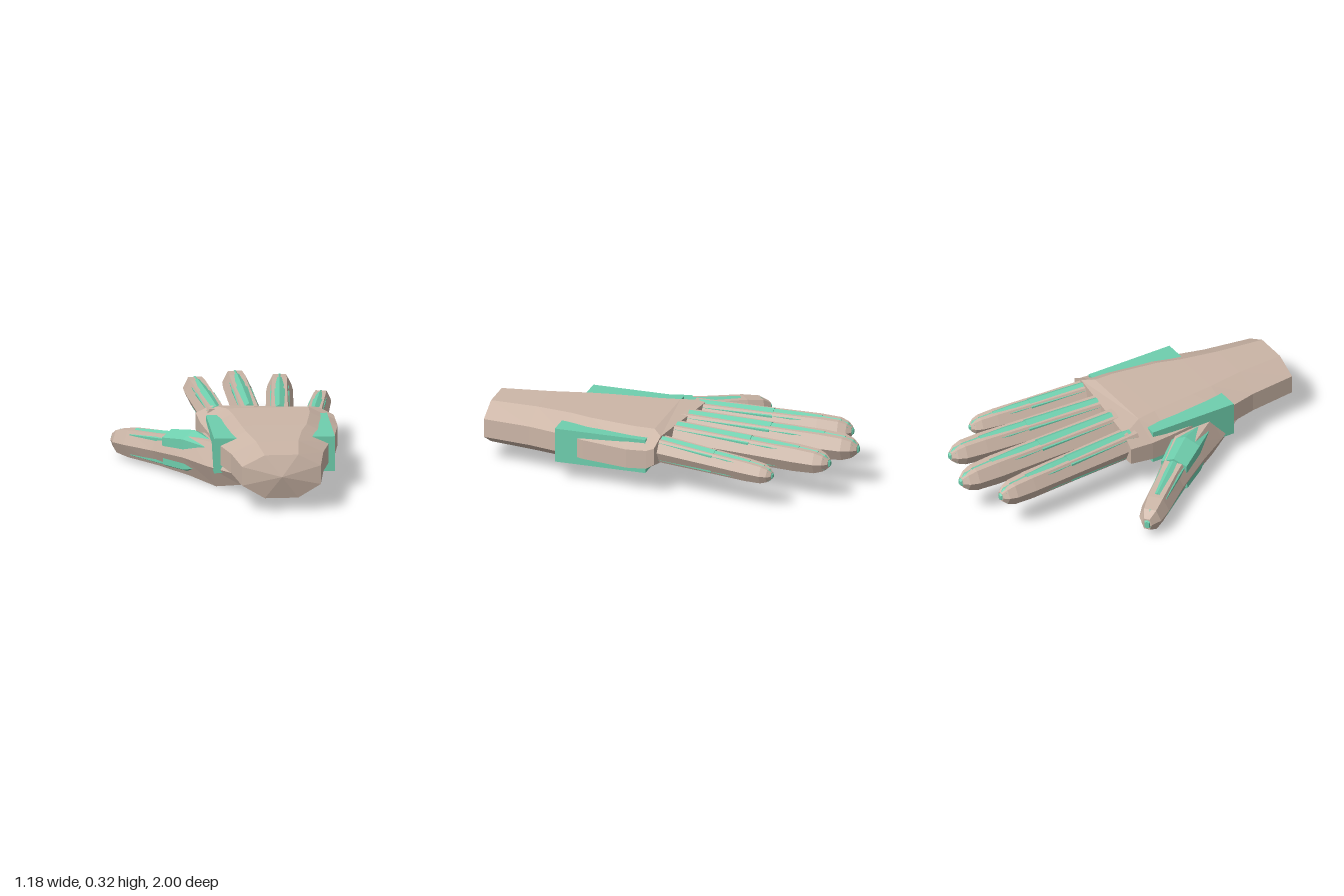
import * as THREE from 'three';

const skin = new THREE.MeshStandardMaterial({ color: 0xccb6a7 });
skin.name = 'skin';
const green = new THREE.MeshStandardMaterial({ color: 0x6fcfae });
green.name = 'green bone';

// Flat-shaded skin over closed rings, capped by a fan at each end
function loft(rings, startTip, endTip) {
  const n = rings[0].length;
  const pos = [];
  const tri = (...p) => p.forEach(v => pos.push(v.x, v.y, v.z));
  const mid = r => r.reduce((a, v) => a.add(v), new THREE.Vector3()).divideScalar(n);
  const first = rings[0], last = rings[rings.length - 1];
  const a = startTip || mid(first), b = endTip || mid(last);
  for (let j = 0; j < n; j++) {
    const k = (j + 1) % n;
    tri(a, first[j], first[k]);
    tri(b, last[k], last[j]);
    for (let i = 0; i + 1 < rings.length; i++) {
      const p = rings[i], q = rings[i + 1];
      tri(p[j], q[j], p[k]);
      tri(p[k], q[j], q[k]);
    }
  }
  const g = new THREE.BufferGeometry();
  g.setAttribute('position', new THREE.Float32BufferAttribute(pos, 3));
  g.computeVertexNormals();
  return g;
}

function add(group, name, geometry, material) {
  const m = new THREE.Mesh(geometry, material);
  m.name = name;
  group.add(m);
  return m;
}

// Cross-sections: skin is flat on top, bone has a ridge on top
const skinShape = [[1, 0], [0.55, 0.9], [-0.55, 0.9], [-1, 0], [-0.55, -0.9], [0.55, -0.9]];
const boneShape = [[0.72, -0.68], [0.72, 0.68], [0, 1], [-0.72, 0.68], [-0.72, -0.68], [0, -1]];

// Tube of a given section; each station is [centre, half width, half height]
function limb(shape, stations) {
  const rings = stations.map(([c, w, h], i) => {
    const prev = stations[Math.max(i - 1, 0)][0];
    const next = stations[Math.min(i + 1, stations.length - 1)][0];
    const dir = next.clone().sub(prev).normalize();
    const side = dir.clone().cross(new THREE.Vector3(0, 1, 0)).normalize();
    const up = side.clone().cross(dir);
    return shape.map(([s, u]) => c.clone().addScaledVector(side, s * w).addScaledVector(up, u * h));
  });
  return loft(rings);
}

// Tapered straight finger with three bones and a small tip
function finger(name, base, tip, r0, r1) {
  const group = new THREE.Group();
  group.name = name;
  const A = new THREE.Vector3(...base), B = new THREE.Vector3(...tip);
  const at = (t, k, m = k) => {
    const r = r0 + (r1 - r0) * t;
    return [A.clone().lerp(B, t), r * k, r * m];
  };
  add(group, name + 'Skin', limb(skinShape, [
    at(0, 1), at(0.45, 1), at(0.78, 1.03), at(0.91, 0.95), at(0.96, 0.72), at(0.99, 0.38),
  ]), skin);
  const bones = [
    [at(0.03, 0.9, 1.05), at(0.5, 0.98, 1.1)],
    [at(0.46, 0.9, 1.04), at(0.62, 0.96, 1.07), at(0.8, 0.86, 1.02)],
    [at(0.79, 0.62, 0.98), at(0.92, 0.58, 0.9)],
    [at(0.92, 0.72, 0.82), at(0.965, 0.62, 0.68), at(1, 0.2)],
  ];
  bones.forEach((s, i) => add(group, name + 'Bone' + (i + 1), limb(boneShape, s), green));
  return group;
}

// Octagonal palm section; slant pushes it back along x
function palmRing([z, x0, x1, y0, y1, cx, lo, hi, slant = 0]) {
  const p = [[x1, lo], [x1, hi], [x1 - cx, y1], [x0 + cx, y1], [x0, hi], [x0, lo], [x0 + cx, y0], [x1 - cx, y0]];
  return p.map(([x, y]) => new THREE.Vector3(x, y, z + slant * (x - x0)));
}

export function createModel() {
  const model = new THREE.Group();
  model.name = 'hand';
  const V = (x, y, z) => new THREE.Vector3(x, y, z);

  // Palm and wrist, from the wrist end to the knuckles
  const sections = [
    [0.96, 0, 0.41, 0.08, 0.31, 0.118, 0.15, 0.25],
    [0.70, -0.035, 0.445, 0.072, 0.318, 0.13, 0.152, 0.255],
    [0.50, -0.085, 0.495, 0.07, 0.322, 0.145, 0.155, 0.257],
    [0.38, -0.10, 0.53, 0.08, 0.324, 0.145, 0.15, 0.255],
    [0.13, -0.125, 0.568, 0.118, 0.325, 0.145, 0.148, 0.25],
    [0.02, -0.14, 0.565, 0.14, 0.325, 0.14, 0.155, 0.255],
    [-0.12, -0.15, 0.56, 0.165, 0.31, 0.08, 0.18, 0.27, 0.14],
  ];
  add(model, 'palm', loft(sections.map(palmRing), V(0.205, 0.2, 0.995)), skin);

  // Block running through the palm, showing at both sides
  const block = add(model, 'palmBlock', new THREE.BoxGeometry(0.63, 0.185, 0.495), green);
  block.position.set(0.205, 0.203, 0.287);

  // Four fingers
  const fingers = [
    ['indexFinger', [-0.045, 0.24, -0.04], [-0.1, 0.225, -0.895], 0.075, 0.066],
    ['middleFinger', [0.125, 0.243, -0.04], [0.122, 0.225, -1], 0.08, 0.069],
    ['ringFinger', [0.28, 0.24, -0.03], [0.355, 0.225, -0.92], 0.078, 0.064],
    ['littleFinger', [0.455, 0.235, 0.0], [0.553, 0.2, -0.672], 0.069, 0.052],
  ];
  fingers.forEach(f => model.add(finger(...f)));

  // Thumb, with a thick root under the palm
  const thumb = new THREE.Group();
  thumb.name = 'thumb';
  add(thumb, 'thumbSkin', limb(skinShape, [
    [V(0.06, 0.13, 0.6), 0.08, 0.07],
    [V(-0.03, 0.125, 0.38), 0.125, 0.128],
    [V(-0.17, 0.13, 0.2), 0.105, 0.115],
    [V(-0.33, 0.115, 0), 0.08, 0.092],
    [V(-0.47, 0.105, -0.17), 0.074, 0.08],
    [V(-0.53, 0.1, -0.24), 0.06, 0.066],
    [V(-0.56, 0.098, -0.28), 0.028, 0.035],
  ]), skin);
  const thumbBones = [
    [[V(-0.1, 0.155, 0.34), 0.07, 0.08], [V(-0.18, 0.14, 0.2), 0.11, 0.118], [V(-0.285, 0.125, 0.06), 0.098, 0.105]],
    [[V(-0.275, 0.12, 0.07), 0.085, 0.1], [V(-0.34, 0.115, -0.01), 0.079, 0.093], [V(-0.455, 0.106, -0.15), 0.07, 0.08]],
    [[V(-0.53, 0.1, -0.24), 0.048, 0.062], [V(-0.568, 0.098, -0.285), 0.018, 0.02]],
  ];
  thumbBones.forEach((s, i) => add(thumb, 'thumbBone' + (i + 1), limb(boneShape, s), green));
  model.add(thumb);

  return model;
}
